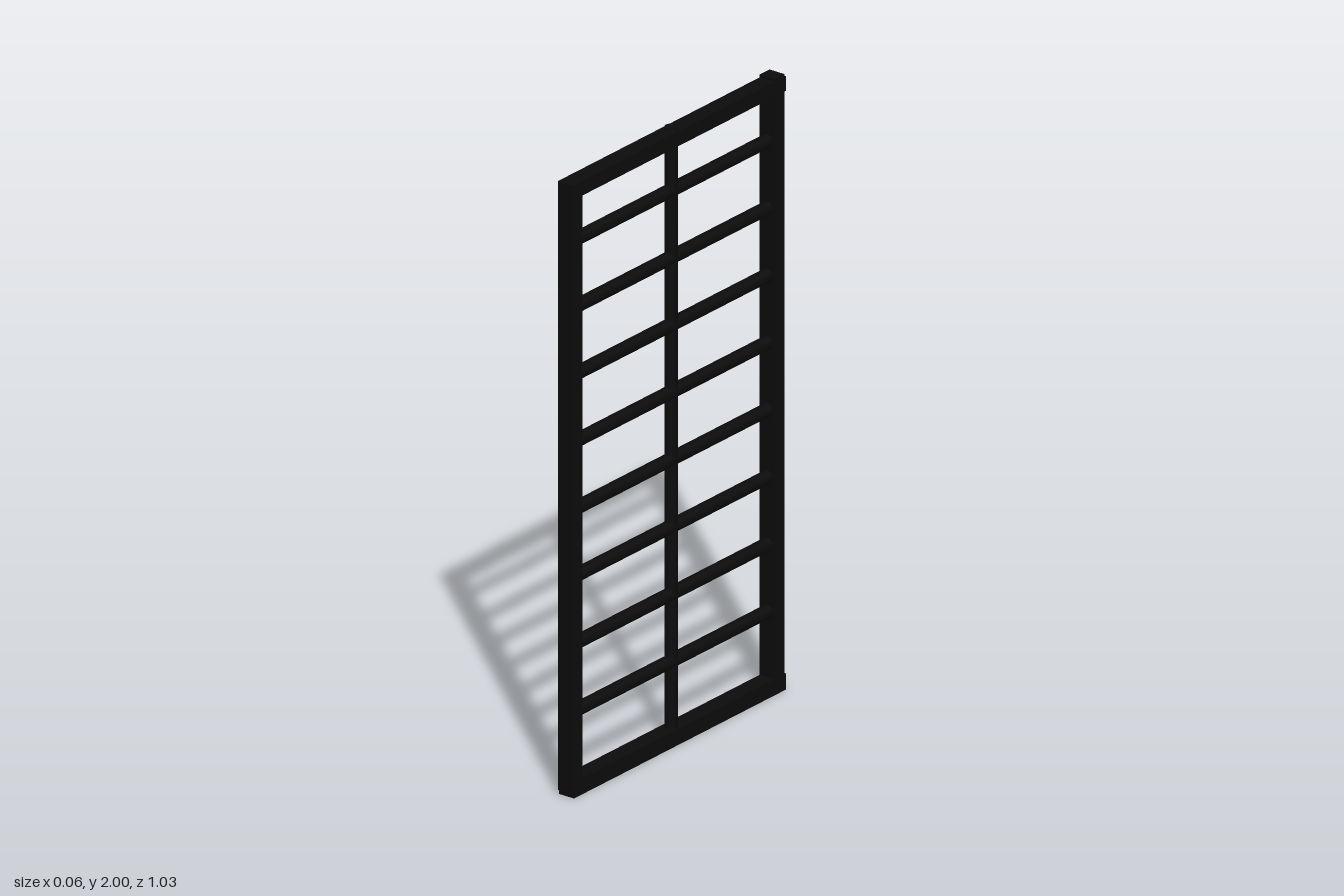
import * as THREE from 'three';

const paint = new THREE.MeshStandardMaterial({ color: 0x0b0b0b });

export function createModel() {
  const model = new THREE.Group();

  const add = (name, geometry, y, z) => {
    const mesh = new THREE.Mesh(geometry, paint);
    mesh.name = name;
    mesh.position.set(0, y, z);
    model.add(mesh);
    return mesh;
  };

  // Square tube spanning the given y and z limits
  const beam = (name, y0, y1, z0, z1) =>
    add(name, new THREE.BoxGeometry(0.056, y1 - y0, z1 - z0), (y0 + y1) / 2, (z0 + z1) / 2);

  // Outer frame, with slightly overlapping corners
  beam('frontStile', 0.015, 1.99, 0.468, 0.516);
  beam('backStile', 0.01, 2, -0.508, -0.46);
  beam('topRail', 1.943, 1.991, -0.515, 0.515);
  beam('bottomRail', 0, 0.052, -0.516, 0.51);

  // Upright round bar in the middle
  add('centreBar', new THREE.CylinderGeometry(0.02, 0.02, 1.98, 24), 1.01, 0.004);

  // Evenly spaced round rungs
  const rungShape = new THREE.CylinderGeometry(0.0215, 0.0215, 0.95, 24).rotateX(Math.PI / 2);
  for (let i = 0; i < 8; i++) add(`rung${i + 1}`, rungShape, 0.265 + i * 0.2183, 0.004);

  return model;
}
